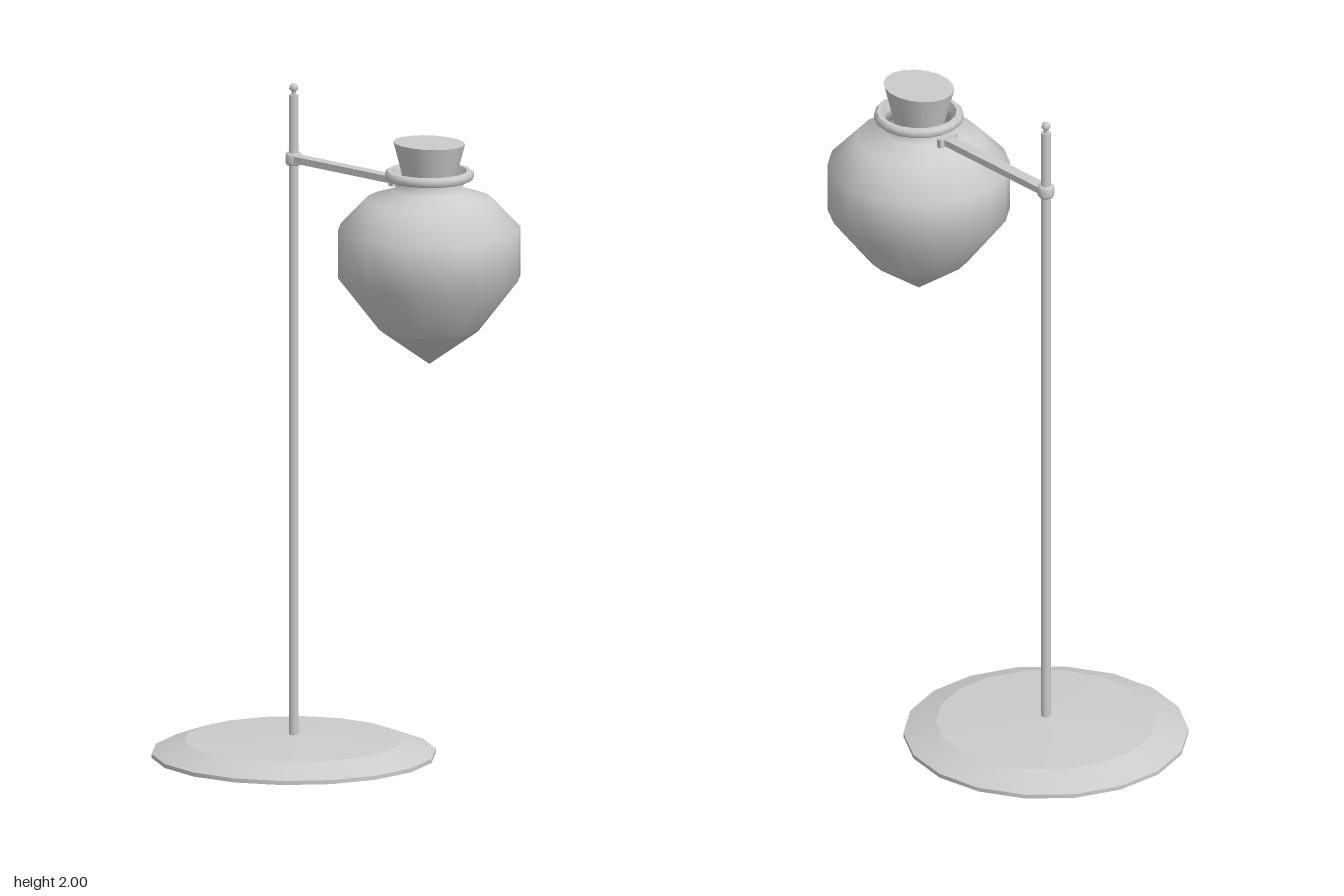
import * as THREE from 'three';

const SIDES = 18;
const POLE_Z = -0.205, FLASK_Z = 0.35, ARM_Y = 1.776;
const grey = new THREE.MeshStandardMaterial({ color: 0xcccccc });
const greyOpen = new THREE.MeshStandardMaterial({ color: 0xcccccc, side: THREE.DoubleSide });

function add(parent, name, geometry, x, y, z, material = grey) {
  const mesh = new THREE.Mesh(geometry, material);
  mesh.name = name;
  mesh.position.set(x, y, z);
  parent.add(mesh);
  return mesh;
}

// Profile listed upwards; a repeated point makes a sharp edge.
function lathe(profile, sides = SIDES) {
  const points = profile.map(([r, y]) => new THREE.Vector2(r, y));
  return new THREE.LatheGeometry(points, sides, Math.PI / 2);
}

export function createModel() {
  const model = new THREE.Group();
  model.name = 'hangingFlaskLamp';

  // Stand
  const stand = new THREE.Group();
  stand.name = 'stand';
  stand.position.z = POLE_Z;
  model.add(stand);
  add(stand, 'base', lathe([
    [0, 0], [0.415, 0], [0.415, 0], [0.415, 0.012], [0.415, 0.012],
    [0.32, 0.048], [0.32, 0.048], [0, 0.063],
  ]), 0, 0, 0);
  add(stand, 'pole', new THREE.CylinderGeometry(0.0145, 0.0145, 1.905, 10), 0, 1.0125, 0);
  add(stand, 'finial', lathe([
    [0.007, 1.96], [0.007, 1.975], [0.007, 1.975], [0.014, 1.983], [0.011, 1.994], [0, 2],
  ], 10), 0, 0, 0);
  add(stand, 'poleCollar', lathe([
    [0.0145, 1.757], [0.021, 1.757], [0.025, 1.764], [0.025, 1.785], [0.021, 1.793], [0.0145, 1.793],
  ], 12), 0, 0, 0);

  // Arm from the pole to the flask neck
  add(model, 'arm', new THREE.BoxGeometry(0.036, 0.02, 0.42), 0, ARM_Y, 0.01);
  add(model, 'armPad', new THREE.BoxGeometry(0.068, 0.026, 0.016), 0, ARM_Y, 0.225);

  // Flask
  const flask = new THREE.Group();
  flask.name = 'flask';
  flask.position.z = FLASK_Z;
  model.add(flask);
  add(flask, 'flaskTip', lathe([[0, 1.248], [0.147, 1.353]]), 0, 0, 0, greyOpen);
  add(flask, 'flaskBody', lathe([
    [0.147, 1.353], [0.266, 1.507], [0.266, 1.652], [0.185, 1.738], [0.1, 1.765], [0.1, 1.8],
  ]), 0, 0, 0, greyOpen);
  add(flask, 'flaskLip', lathe([
    [0.1, 1.797], [0.122, 1.797], [0.122, 1.797], [0.13, 1.803], [0.13, 1.817],
    [0.122, 1.824], [0.122, 1.824], [0.11, 1.824], [0.11, 1.824], [0.1, 1.797],
  ]), 0, 0, 0, greyOpen);

  // Oval tapered stopper
  const stopper = add(flask, 'stopper', new THREE.CylinderGeometry(0.095, 0.061, 0.146, SIDES), 0, 1.833, 0);
  stopper.scale.z = 1.19;

  return model;
}
